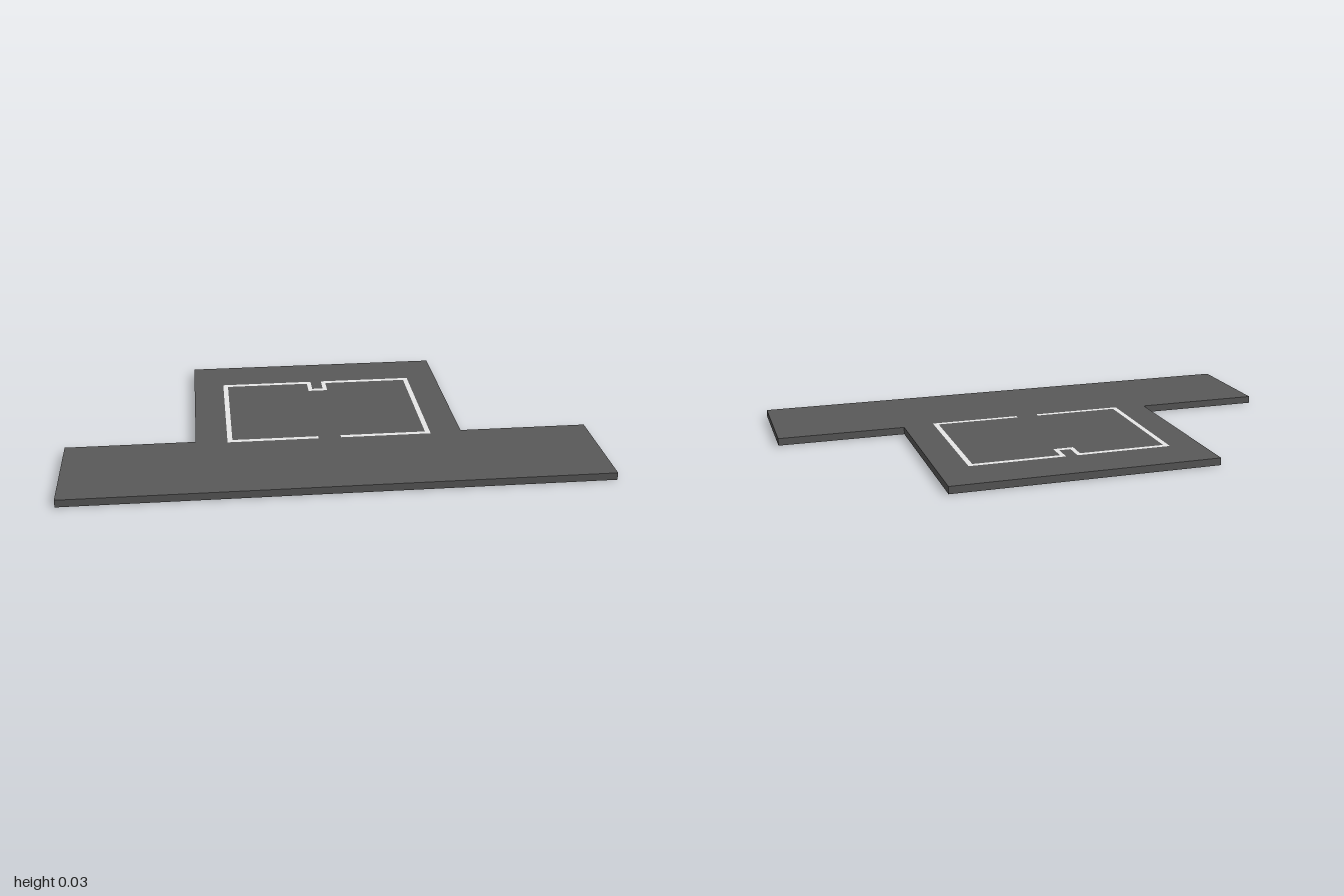
import * as THREE from 'three';

const THICKNESS = 0.028;

// Closed outline, symmetric about x = 0, from its +x half given as [x, z]
function mirroredOutline(half) {
  const left = half.map(([x, z]) => [-x, z]).reverse();
  return [...half, ...left].map(([x, z]) => new THREE.Vector2(x, -z));
}

// Flat sheet lying at the top level
function sheet(shape, material, name) {
  const geometry = new THREE.ShapeGeometry(shape);
  geometry.rotateX(-Math.PI / 2).translate(0, THICKNESS, 0);
  const mesh = new THREE.Mesh(geometry, material);
  mesh.name = name;
  return mesh;
}

// Vertical skirt hanging below a counterclockwise outline
function skirt(outline, material, name) {
  const group = new THREE.Group();
  group.name = name;
  outline.forEach((a, i) => {
    const b = outline[(i + 1) % outline.length];
    const wall = new THREE.Mesh(new THREE.PlaneGeometry(a.distanceTo(b), THICKNESS), material);
    wall.position.set((a.x + b.x) / 2, THICKNESS / 2, -(a.y + b.y) / 2);
    wall.rotation.y = Math.atan2(b.y - a.y, b.x - a.x);
    wall.name = 'edgeWall';
    group.add(wall);
  });
  return group;
}

function material(name, color) {
  const result = new THREE.MeshStandardMaterial({ color, side: THREE.DoubleSide });
  result.name = name;
  return result;
}

export function createModel() {
  const group = new THREE.Group();
  group.name = 'groundPlate';

  const darkGrey = material('darkGrey', 0x595959);
  const lightGrey = material('lightGrey', 0xe8e8e8);

  // T-shaped plate: wide front strip and narrower rear block
  const plate = mirroredOutline([
    [1, 0.576], [1, 0.157], [0.51, 0.157], [0.51, -0.576],
  ]);

  // Light band: open at the front, with a small notch at the back
  const band = mirroredOutline([
    [0.022, -0.31], [0.022, -0.387], [0.39, -0.387], [0.39, 0.174], [0.043, 0.174],
    [0.043, 0.155], [0.371, 0.155], [0.371, -0.367], [0.039, -0.367], [0.039, -0.29],
  ]);

  // Top surface with the band let into it, and the open-bottomed rim
  const top = new THREE.Shape(plate);
  top.holes.push(new THREE.Path(band));
  group.add(sheet(top, darkGrey, 'topSurface'));
  group.add(sheet(new THREE.Shape(band), lightGrey, 'outlineBand'));
  group.add(skirt(plate, darkGrey, 'rim'));

  return group;
}
